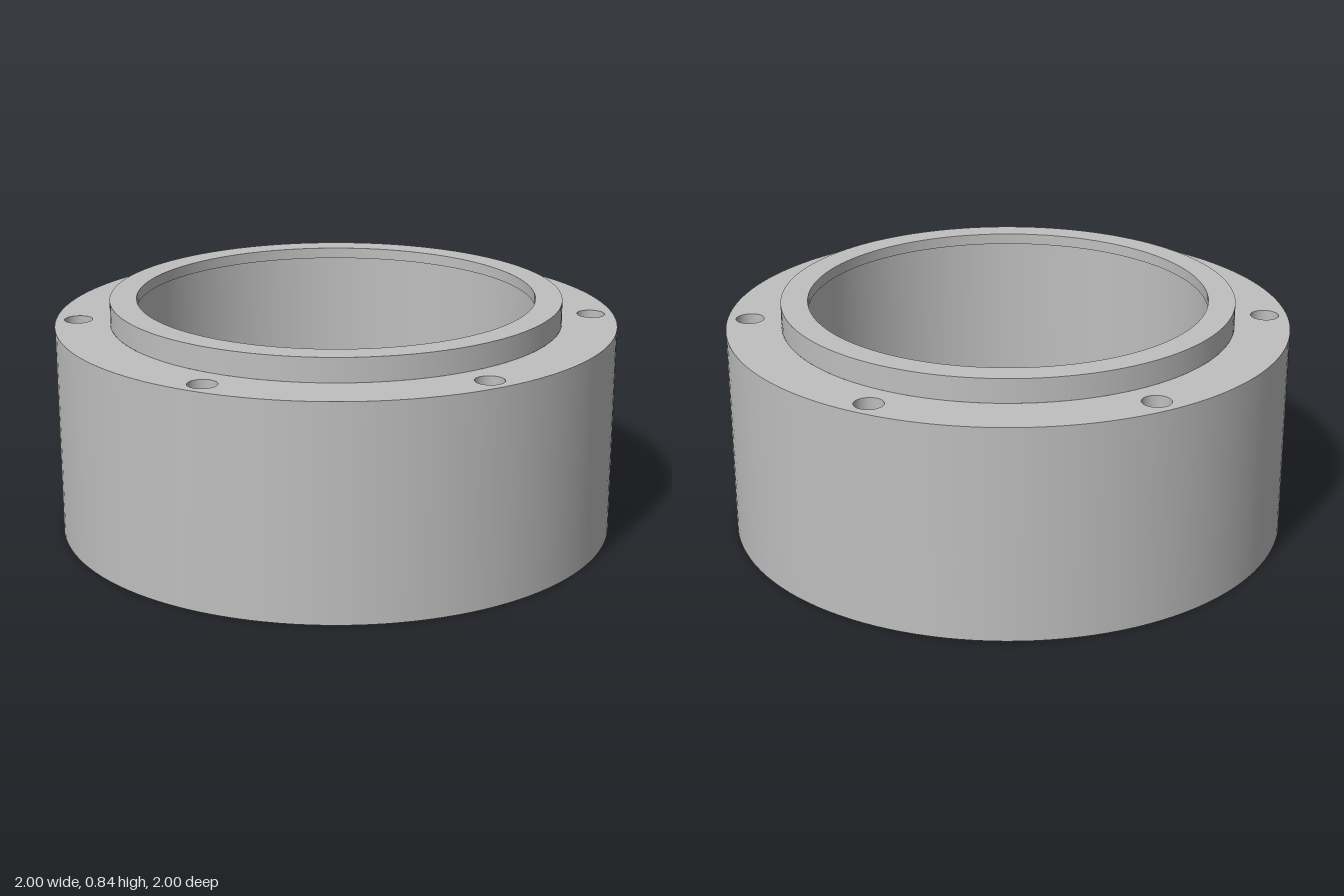
import * as THREE from 'three';
import { mergeGeometries } from 'three/addons/utils/BufferGeometryUtils.js';

const SEGMENTS = 128;
const OUTER = 1, BOSS = 0.805, BORE = 0.744, LIP = 0.71;
const FLANGE_Y = 0.755, LIP_Y = 0.8, TOP_Y = 0.84;
const HOLE_RADIUS = 0.05, HOLE_CIRCLE = 0.92, HOLE_COUNT = 6, HOLE_START = 0.028;

// Hole centres as [x, z]
const holes = Array.from({ length: HOLE_COUNT }, (_, i) => {
  const a = HOLE_START + (i * Math.PI * 2) / HOLE_COUNT;
  return [HOLE_CIRCLE * Math.cos(a), -HOLE_CIRCLE * Math.sin(a)];
});

// Revolves each profile edge separately so the corners stay crisp
function revolve(points) {
  const parts = [];
  for (let i = 0; i + 1 < points.length; i++) {
    const edge = [points[i], points[i + 1]].map(([r, y]) => new THREE.Vector2(r, y));
    parts.push(new THREE.LatheGeometry(edge, SEGMENTS));
  }
  return mergeGeometries(parts);
}

// Flat ring pierced by the bolt holes, facing up or down
function drilledRing(inner, y, up) {
  const side = up ? -1 : 1;
  const shape = new THREE.Shape().absarc(0, 0, OUTER, 0, Math.PI * 2);
  shape.holes.push(new THREE.Path().absarc(0, 0, inner, 0, Math.PI * 2, true));
  for (const [x, z] of holes) {
    shape.holes.push(new THREE.Path().absarc(x, side * z, HOLE_RADIUS, 0, Math.PI * 2, true));
  }
  return new THREE.ShapeGeometry(shape, SEGMENTS).rotateX((side * Math.PI) / 2).translate(0, y, 0);
}

export function createModel() {
  const group = new THREE.Group();
  const grey = new THREE.MeshStandardMaterial({ color: 0xbfbfbf });
  grey.name = 'machined grey';
  const add = (name, geometry) => {
    const mesh = new THREE.Mesh(geometry, grey);
    mesh.name = name;
    group.add(mesh);
    return mesh;
  };

  add('outerWall', revolve([[OUTER, 0], [OUTER, FLANGE_Y]]));
  add('flangeFace', drilledRing(BOSS, FLANGE_Y, true));
  add('bottomFace', drilledRing(BORE, 0, false));

  // Raised collar with its small inner lip, then the wider bore below
  add('collar', revolve([[BOSS, FLANGE_Y], [BOSS, TOP_Y], [LIP, TOP_Y], [LIP, LIP_Y], [BORE, LIP_Y]]));
  add('bore', revolve([[BORE, LIP_Y], [BORE, 0]]));

  // Walls of the through holes
  const holeWall = revolve([[HOLE_RADIUS, FLANGE_Y], [HOLE_RADIUS, 0]]);
  holes.forEach(([x, z], i) => add(`boltHole${i + 1}`, holeWall).position.set(x, 0, z));

  return group;
}
